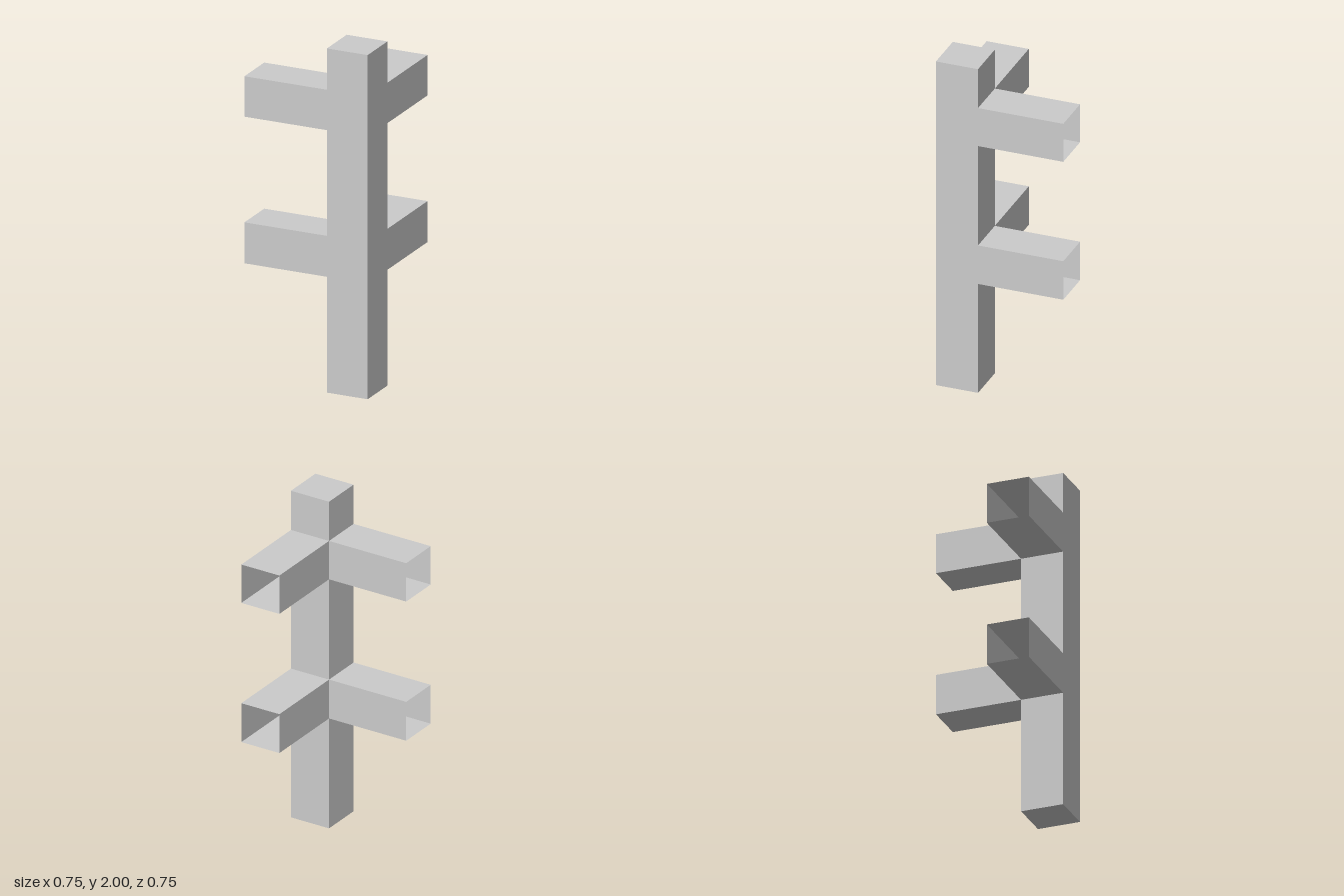
import * as THREE from 'three';

const SIDES = ['right', 'left', 'top', 'bottom', 'front', 'back']; // +x -x +y -y +z -z
const OUT = 0.375, IN = 0.127, HEIGHT = 2;
const RAILS = [[0.673, 0.911], [1.525, 1.76]]; // bottom and top of each rail level

const material = new THREE.MeshStandardMaterial({
  color: 0xcccccc, flatShading: true, side: THREE.DoubleSide,
});

// Hollow box between two corners, keeping only the listed sides
function shell(name, min, max, keep) {
  const size = max.map((v, i) => v - min[i]);
  const geometry = new THREE.BoxGeometry(...size);
  const all = Array.from(geometry.index.array);
  geometry.setIndex(SIDES.flatMap((s, i) => (keep.includes(s) ? all.slice(i * 6, i * 6 + 6) : [])));
  geometry.clearGroups();
  geometry.translate(...min.map((v, i) => v + size[i] / 2));
  const mesh = new THREE.Mesh(geometry, material);
  mesh.name = name;
  return mesh;
}

export function createModel() {
  const model = new THREE.Group();
  model.name = 'cornerPost';

  // Corner post, open on its inner sides where the rails join
  const post = new THREE.Group();
  post.name = 'post';
  const levels = [0, ...RAILS.flat(), HEIGHT];
  for (let i = 0; i < levels.length - 1; i++) {
    const keep = ['right', 'front'];
    if (i % 2 === 0) keep.push('left', 'back');
    if (i === 0) keep.push('bottom');
    if (i === levels.length - 2) keep.push('top');
    post.add(shell('postSection', [IN, levels[i], IN], [OUT, levels[i + 1], OUT], keep));
  }
  model.add(post);

  // Two levels of hollow rails with open ends
  for (const [low, high] of RAILS) {
    model.add(
      shell('sideRail', [-OUT, low, IN], [IN, high, OUT], ['top', 'bottom', 'front', 'back']),
      shell('backRail', [IN, low, -OUT], [OUT, high, IN], ['top', 'bottom', 'left', 'right']),
    );
  }
  return model;
}
